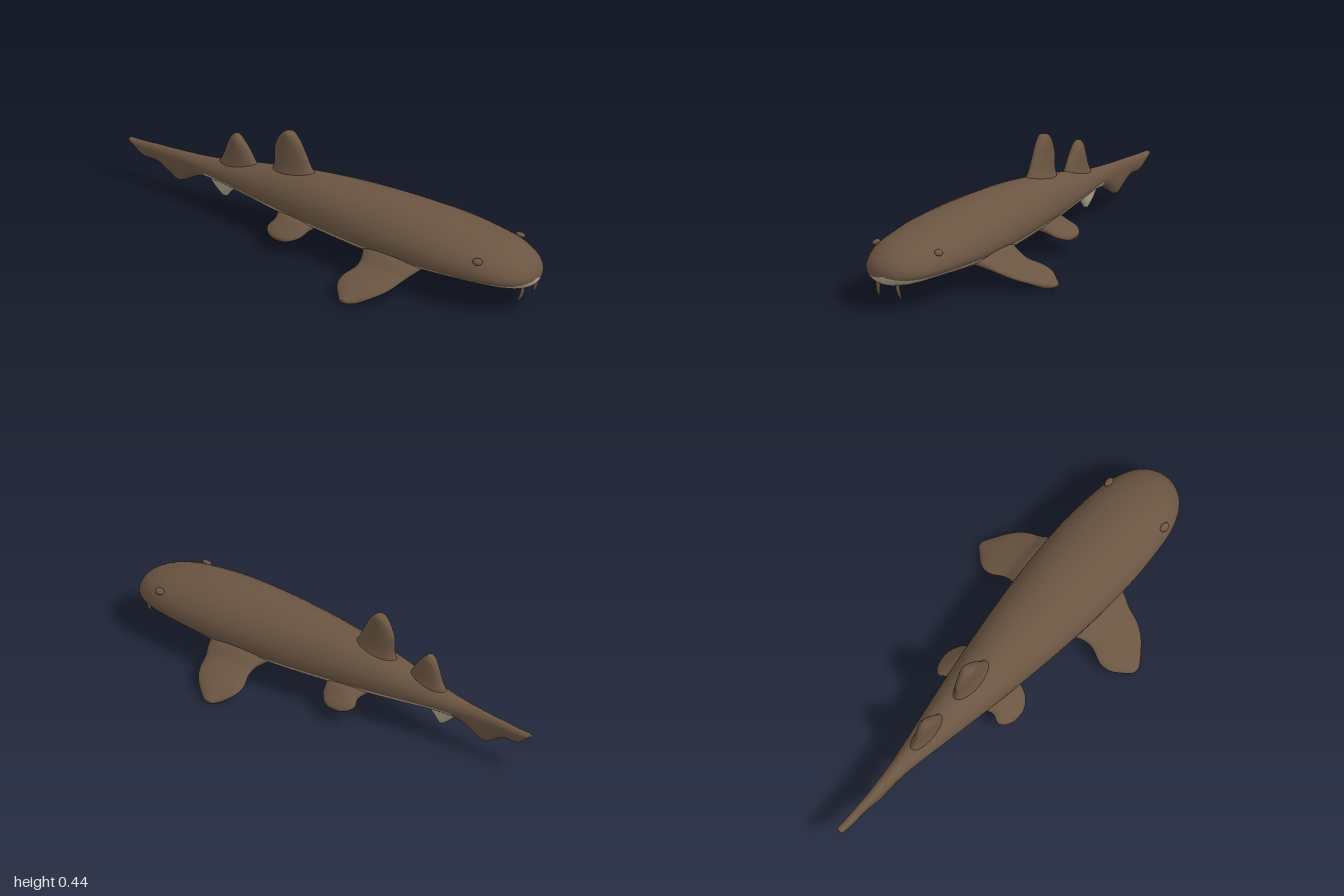
import * as THREE from 'three';

const RING = 36;
const brown = new THREE.MeshStandardMaterial({ color: 0x6b5542 });
brown.name = 'brown skin';
const pale = new THREE.MeshStandardMaterial({ color: 0xaea48c });
pale.name = 'pale belly';

// Smoothly resample rows of section values.
function smooth(rows, steps) {
  const out = [];
  const at = (i) => rows[Math.max(0, Math.min(rows.length - 1, i))];
  for (let i = 0; i < rows.length - 1; i++) {
    for (let k = 0; k < steps; k++) {
      const t = k / steps;
      out.push(rows[i].map((p1, c) => {
        const p0 = at(i - 1)[c], p2 = at(i + 1)[c], p3 = at(i + 2)[c];
        return p1 + 0.5 * t * (p2 - p0 + t * (2 * p0 - 5 * p1 + 4 * p2 - p3 + t * (3 * (p1 - p2) + p3 - p0)));
      }));
    }
  }
  out.push(rows[rows.length - 1]);
  return out;
}

// Skin closed rings of points; isPale(quadCentre, angle in degrees) picks the colour.
function loft(name, rings, isPale) {
  const centre = (r) => r.reduce((s, p) => s.add(p), new THREE.Vector3()).divideScalar(r.length);
  const capped = [rings[0].map(() => centre(rings[0])), ...rings,
    rings[0].map(() => centre(rings[rings.length - 1]))];
  const pts = capped.flat();
  const lists = [[], []];
  let volume = 0;
  for (let i = 0; i < capped.length - 1; i++) {
    for (let j = 0; j < RING; j++) {
      const a = i * RING + j, b = i * RING + (j + 1) % RING, c = a + RING, d = b + RING;
      const mid = pts[a].clone().add(pts[d]).multiplyScalar(0.5);
      lists[isPale(mid, (j + 0.5) * 360 / RING) ? 1 : 0].push(a, c, b, b, c, d);
      for (const [p, q, r] of [[a, c, b], [b, c, d]]) {
        volume += pts[p].dot(pts[q].clone().cross(pts[r]));
      }
    }
  }
  if (volume < 0) {
    for (const l of lists) for (let k = 0; k < l.length; k += 3) [l[k], l[k + 1]] = [l[k + 1], l[k]];
  }
  const geo = new THREE.BufferGeometry().setFromPoints(pts);
  geo.setIndex([...lists[0], ...lists[1]]);
  geo.addGroup(0, lists[0].length, 0);
  geo.addGroup(lists[0].length, lists[1].length, 1);
  geo.computeVertexNormals();
  const mesh = new THREE.Mesh(geo, [brown, pale]);
  mesh.name = name;
  return mesh;
}

const ringOf = (fn) => Array.from({ length: RING }, (_, j) => fn(j * 2 * Math.PI / RING));

// Fin from rows [x, y, leading z, trailing z, half thickness]; (nx, ny) is the thickness direction.
function fin(name, rows, nx, ny, side, isPale) {
  const rings = smooth(rows, 5).map(([x, y, lead, trail, t]) => ringOf((a) => new THREE.Vector3(
    side * (x + nx * t * Math.sin(a)),
    y + ny * t * Math.sin(a),
    (lead + trail) / 2 + (lead - trail) / 2 * Math.cos(a))));
  return loft(name, rings, isPale);
}

export function createModel() {
  const model = new THREE.Group();
  model.name = 'bottomDwellingShark';

  // Body and tail: z, half width, top, widest height, bottom
  const body = smooth([
    [1.0, 0.02, 0.168, 0.153, 0.138],
    [0.99, 0.055, 0.19, 0.155, 0.122],
    [0.96, 0.1, 0.22, 0.158, 0.108],
    [0.9, 0.14, 0.25, 0.162, 0.102],
    [0.8, 0.17, 0.277, 0.168, 0.1],
    [0.6, 0.186, 0.304, 0.17, 0.085],
    [0.4, 0.181, 0.313, 0.17, 0.07],
    [0.2, 0.165, 0.313, 0.17, 0.073],
    [0, 0.14, 0.305, 0.17, 0.083],
    [-0.2, 0.11, 0.283, 0.17, 0.095],
    [-0.4, 0.076, 0.25, 0.17, 0.115],
    [-0.55, 0.05, 0.222, 0.17, 0.13],
    [-0.65, 0.035, 0.21, 0.17, 0.122],
    [-0.75, 0.025, 0.203, 0.17, 0.071],
    [-0.8, 0.021, 0.2, 0.17, 0.09],
    [-0.86, 0.019, 0.197, 0.17, 0.124],
    [-0.93, 0.017, 0.192, 0.17, 0.127],
    [-0.98, 0.016, 0.19, 0.175, 0.162],
    [-1.0, 0.012, 0.189, 0.183, 0.177],
  ], 5);
  const bodyRings = body.map(([z, w, top, mid, low]) => ringOf((a) => new THREE.Vector3(
    w * Math.cos(a), mid + Math.sin(a) * (a < Math.PI ? top - mid : mid - low), z)));
  model.add(loft('body', bodyRings, (p, deg) => p.z > -0.62 && deg > 200 && deg < 340));

  // Fins on the centre line
  const never = () => false;
  model.add(fin('firstDorsalFin', [
    [0, 0.25, -0.05, -0.3, 0.05], [0, 0.3, -0.1, -0.287, 0.034], [0, 0.36, -0.132, -0.287, 0.028],
    [0, 0.41, -0.16, -0.268, 0.026], [0, 0.44, -0.187, -0.243, 0.022], [0, 0.449, -0.2, -0.225, 0.012],
  ], 1, 0, 1, never));
  model.add(fin('secondDorsalFin', [
    [0, 0.2, -0.33, -0.57, 0.04], [0, 0.25, -0.375, -0.54, 0.03], [0, 0.3, -0.408, -0.522, 0.026],
    [0, 0.34, -0.443, -0.505, 0.022], [0, 0.36, -0.465, -0.485, 0.012],
  ], 1, 0, 1, never));
  model.add(fin('analFin', [
    [0, 0.16, -0.42, -0.64, 0.025], [0, 0.125, -0.465, -0.605, 0.02],
    [0, 0.095, -0.5, -0.575, 0.016], [0, 0.07, -0.52, -0.545, 0.008],
  ], 1, 0, 1, (p) => p.y < 0.145));

  for (const side of [1, -1]) {
    const label = side > 0 ? 'left' : 'right';

    // Paired fins, pale underneath
    model.add(fin(label + 'PectoralFin', [
      [0.1, 0.135, 0.56, 0.22, 0.04], [0.18, 0.11, 0.53, 0.27, 0.034], [0.23, 0.086, 0.505, 0.278, 0.025],
      [0.29, 0.064, 0.485, 0.255, 0.022], [0.34, 0.045, 0.45, 0.262, 0.02],
      [0.385, 0.022, 0.395, 0.3, 0.018], [0.41, 0.018, 0.358, 0.325, 0.008],
    ], 0.37, 0.93, side, (p, deg) => Math.abs(p.x) < 0.34 && deg > 190 && deg < 330));
    model.add(fin(label + 'PelvicFin', [
      [0.07, 0.125, 0, -0.22, 0.025], [0.12, 0.11, -0.03, -0.2, 0.028], [0.155, 0.09, -0.045, -0.212, 0.022],
      [0.18, 0.076, -0.07, -0.195, 0.016], [0.195, 0.068, -0.1, -0.16, 0.008],
    ], 0.4, 0.92, side, (p, deg) => Math.abs(p.x) < 0.18 && deg > 200 && deg < 330));

    // Small raised eye
    const eye = new THREE.Mesh(new THREE.SphereGeometry(1, 20, 14), brown);
    eye.name = label + 'Eye';
    eye.scale.set(0.016, 0.011, 0.022);
    eye.position.set(side * 0.147, 0.231, 0.815);
    eye.rotation.z = side * -0.6;
    model.add(eye);

    // Tapered, slightly curved barbel under the snout
    const barbel = smooth([
      [0.046, 0.125, 0.965, 0.009], [0.047, 0.095, 0.962, 0.008],
      [0.05, 0.07, 0.953, 0.006], [0.052, 0.047, 0.938, 0.001],
    ], 4).map(([x, y, z, r]) => ringOf((a) => new THREE.Vector3(
      side * x + r * Math.cos(a), y, z + r * Math.sin(a))));
    model.add(loft(label + 'Barbel', barbel, never));
  }

  // Thin mouth line under the snout
  const mouthPath = new THREE.QuadraticBezierCurve3(
    new THREE.Vector3(-0.075, 0.112, 0.9), new THREE.Vector3(0, 0.096, 0.95), new THREE.Vector3(0.075, 0.112, 0.9));
  const mouth = new THREE.Mesh(new THREE.TubeGeometry(mouthPath, 20, 0.004, 8), brown);
  mouth.name = 'mouth';
  model.add(mouth);

  return model;
}
